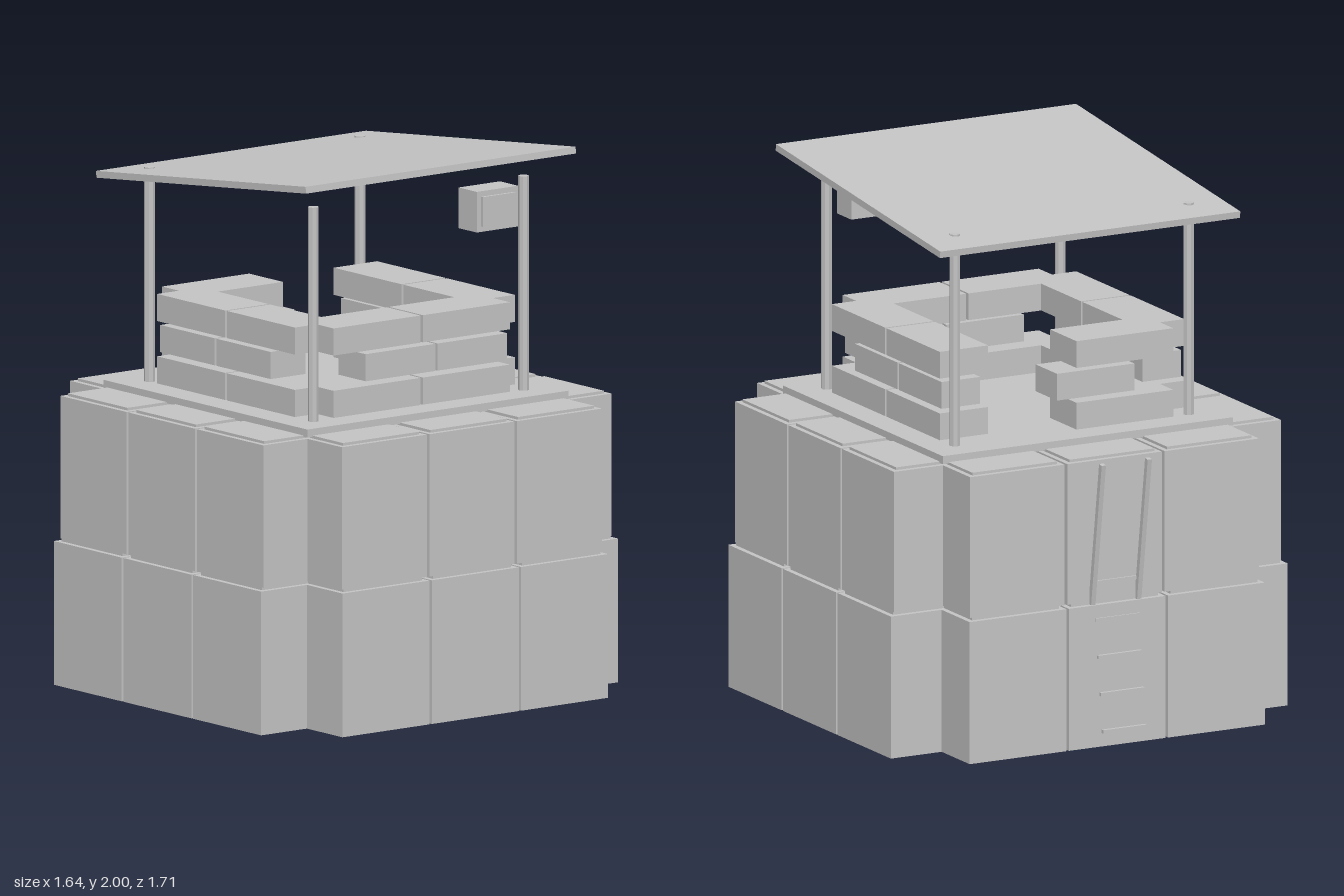
import * as THREE from 'three';

const grey = new THREE.MeshStandardMaterial({ color: 0xc4c4c4 });
grey.name = 'plain grey';
grey.flatShading = true;

const CZ = 0.035; // middle of the tower along z

function box(parent, name, w, h, d, x, y, z) {
  const m = new THREE.Mesh(new THREE.BoxGeometry(w, h, d), grey);
  m.name = name;
  m.position.set(x, y, z);
  parent.add(m);
  return m;
}

// Calls place(x, z, alongX, side, index) for every block in a notched square ring
function ring(radius, offsets, place) {
  for (const s of [1, -1]) {
    offsets.forEach((o, i) => {
      place(o, CZ + s * radius, true, s > 0 ? 'front' : 'back', i);
      place(s * radius, CZ - o, false, s > 0 ? 'left' : 'right', i);
    });
  }
}

export function createModel() {
  const model = new THREE.Group();
  model.name = 'guardTower';

  // Two tiers of big filled blocks, each with an inset lid
  const tiers = [
    { size: 0.4, pitch: 0.41, radius: 0.62, y0: 0.0, y1: 0.53 },
    { size: 0.39, pitch: 0.402, radius: 0.605, y0: 0.54, y1: 1.065 },
  ];
  tiers.forEach((t, n) => {
    const tier = new THREE.Group();
    tier.name = n ? 'upperBlocks' : 'lowerBlocks';
    ring(t.radius, [-t.pitch, 0, t.pitch], (x, z, alongX, side) => {
      box(tier, side + 'Block', t.size, t.y1 - t.y0, t.size, x, (t.y0 + t.y1) / 2, z);
      box(tier, side + 'BlockLid', t.size - 0.04, 0.01, t.size - 0.04, x, t.y1 + 0.005, z);
    });
    model.add(tier);
  });

  // Floor
  box(model, 'floor', 1.2, 0.03, 1.2, 0, 1.085, CZ);

  // Three courses of parapet bags with a doorway in the back
  const courses = [
    { y: 1.155, len: 0.4, deep: 0.2, radius: 0.405, offsets: [-0.205, 0.205] },
    { y: 1.27, len: 0.32, deep: 0.16, radius: 0.415, offsets: [-0.09, 0.24] },
    { y: 1.385, len: 0.4, deep: 0.2, radius: 0.405, offsets: [-0.205, 0.205] },
  ];
  const parapet = new THREE.Group();
  parapet.name = 'parapet';
  for (const c of courses) {
    ring(c.radius, c.offsets, (x, z, alongX, side, i) => {
      if (side === 'back' && i === 1) return;
      box(parapet, side + 'Bag', alongX ? c.len : c.deep, 0.1, alongX ? c.deep : c.len, x, c.y, z);
    });
  }
  model.add(parapet);

  // Roof posts
  for (const x of [-0.483, 0.483]) {
    for (const z of [0.52, -0.443]) {
      const post = new THREE.Mesh(new THREE.CylinderGeometry(0.02, 0.02, 0.79, 8), grey);
      post.name = 'roofPost';
      post.position.set(x, 1.495, z);
      model.add(post);
    }
  }

  // Sloping roof, higher at the front
  box(model, 'roof', 1.24, 0.025, 1.24, 0, 1.9225, CZ).rotation.x = -0.105;

  // Lamp by the front post
  box(model, 'lampBody', 0.19, 0.15, 0.107, 0.3, 1.8, 0.547);
  box(model, 'lampFront', 0.15, 0.11, 0.012, 0.3, 1.8, 0.606);

  // Ladder: rails lean out at the top, rungs step out towards the ground
  const ladder = new THREE.Group();
  ladder.name = 'ladder';
  for (const x of [-0.095, 0.095]) {
    box(ladder, 'ladderRail', 0.018, 1.08, 0.02, x, 0.535, -0.768).rotation.x = -0.147;
  }
  for (let i = 0; i < 8; i++) {
    box(ladder, 'ladderRung', 0.18, 0.013, 0.013, 0, 0.07 + i * 0.135, -0.838 + i * 0.018);
  }
  model.add(ladder);

  return model;
}
